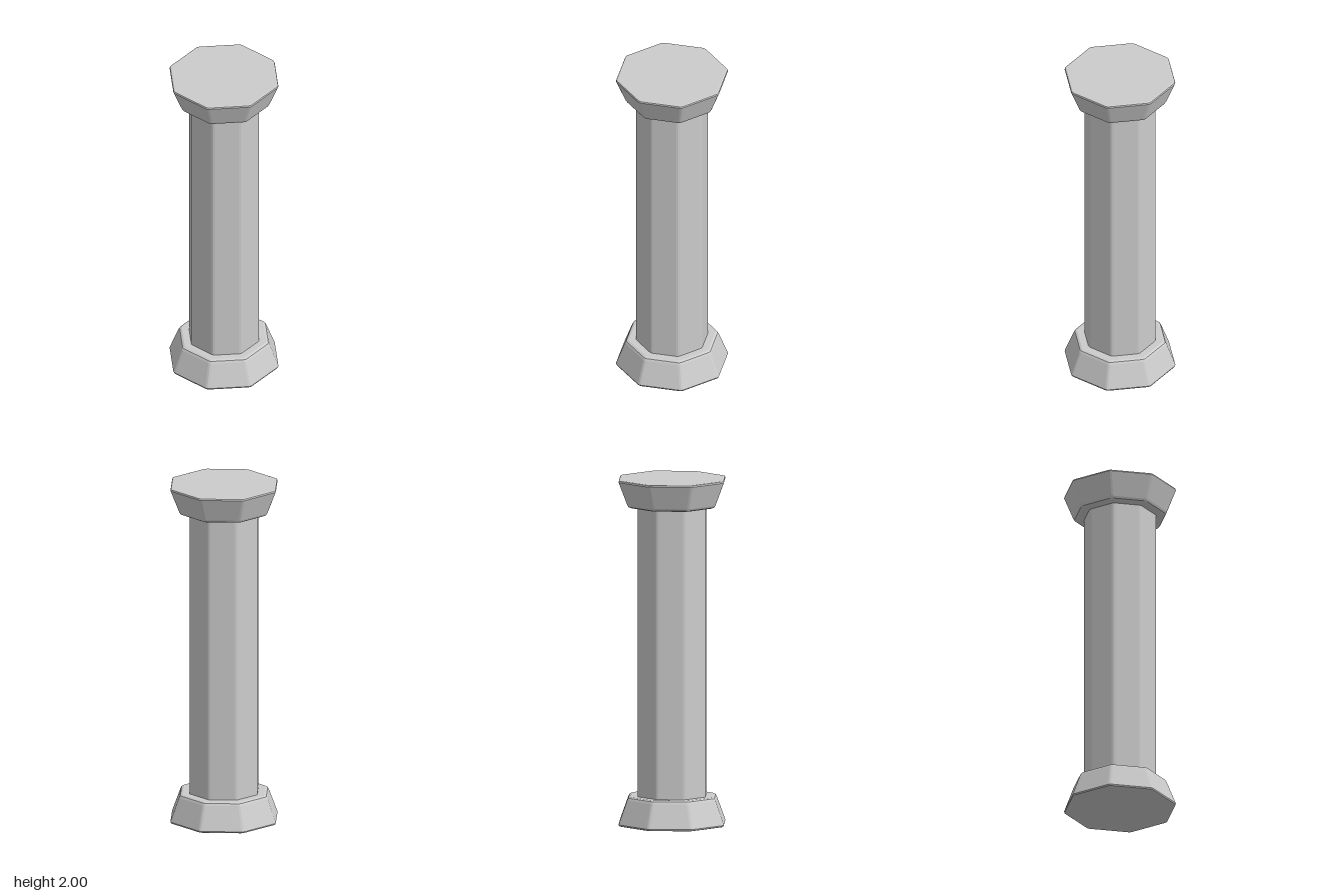
import * as THREE from 'three';

const SIDES = 8;

// Octagon outline with softened corners, corners on the x and z axes
function outline(radius, y, bevel) {
  const corner = (i) => {
    const a = (i / SIDES) * Math.PI * 2;
    return new THREE.Vector3(Math.sin(a) * radius, y, Math.cos(a) * radius);
  };
  const points = [];
  for (let i = 0; i < SIDES; i++) {
    const p = corner(i);
    const t = bevel / p.distanceTo(corner(i + 1));
    const before = p.clone().lerp(corner(i - 1), t);
    const after = p.clone().lerp(corner(i + 1), t);
    const middle = before.clone().add(after).multiplyScalar(0.25).addScaledVector(p, 0.5);
    points.push(before, middle, after);
  }
  return points;
}

// Closed solid through octagonal sections given as [radius, y], bottom to top
function octagonSolid(profile, bevel) {
  const rings = profile.map(([r, y]) => outline(r, y, bevel));
  const n = rings[0].length;
  const positions = [];
  const triangle = (...corners) => corners.forEach((v) => positions.push(v.x, v.y, v.z));
  for (let k = 0; k < rings.length - 1; k++) {
    const low = rings[k], high = rings[k + 1];
    for (let i = 0; i < n; i++) {
      const j = (i + 1) % n;
      triangle(low[i], low[j], high[j]);
      triangle(low[i], high[j], high[i]);
    }
  }
  // End caps
  const bottom = rings[0], top = rings[rings.length - 1];
  const bottomCentre = new THREE.Vector3(0, profile[0][1], 0);
  const topCentre = new THREE.Vector3(0, profile[profile.length - 1][1], 0);
  for (let i = 0; i < n; i++) {
    const j = (i + 1) % n;
    triangle(bottomCentre, bottom[j], bottom[i]);
    triangle(topCentre, top[i], top[j]);
  }
  const geometry = new THREE.BufferGeometry();
  geometry.setAttribute('position', new THREE.Float32BufferAttribute(positions, 3));
  geometry.computeVertexNormals();
  return geometry;
}

export function createModel() {
  const group = new THREE.Group();
  group.name = 'column';
  const stone = new THREE.MeshStandardMaterial({ color: 0xcccccc });
  stone.name = 'stone grey';

  const add = (name, profile) => {
    const mesh = new THREE.Mesh(octagonSolid(profile, 0.012), stone);
    mesh.name = name;
    group.add(mesh);
  };

  // Flared foot, softened at both rims
  const flare = [
    [0.316, 0], [0.324, 0.003], [0.327, 0.011],
    [0.274, 0.15], [0.267, 0.162], [0.254, 0.168],
  ];
  add('base', flare);

  // Straight shaft running into both ends
  add('shaft', [[0.211, 0.1], [0.211, 1.9]]);

  // Capital is the foot turned upside down
  add('capital', flare.map(([r, y]) => [r, 2 - y * 0.96]).reverse());

  return group;
}
